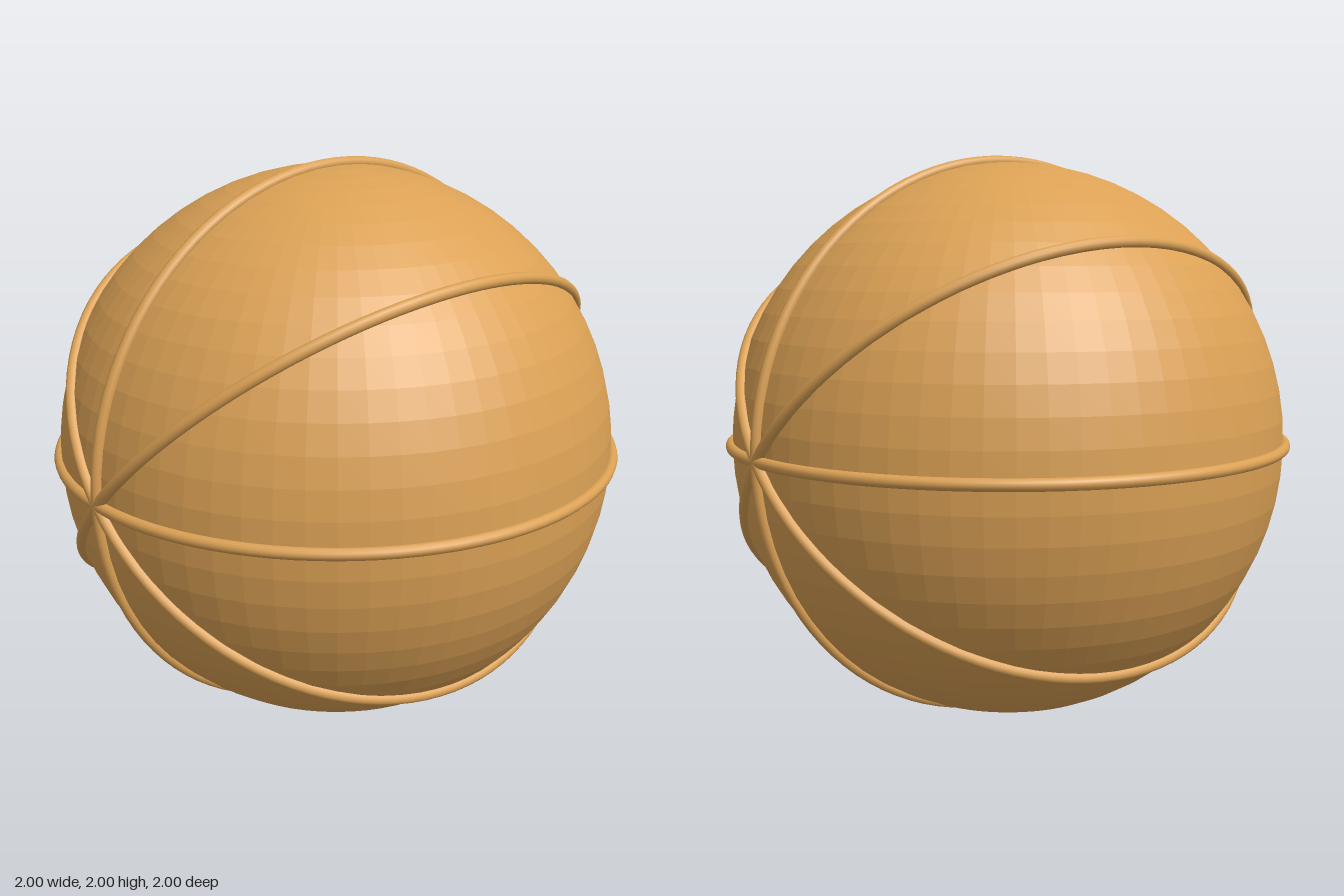
import * as THREE from 'three';

export function createModel() {
  const model = new THREE.Group();
  model.name = 'ribbedBall';

  const orange = new THREE.MeshStandardMaterial({ color: 0xdba155 });
  orange.name = 'warm orange';
  orange.flatShading = true;
  const ribOrange = new THREE.MeshStandardMaterial({ color: 0xdba155 });
  ribOrange.name = 'rib orange';

  // Faceted ball
  const ball = new THREE.Mesh(new THREE.SphereGeometry(0.976, 64, 32), orange);
  ball.name = 'ball';
  ball.position.y = 1;
  model.add(ball);

  // Four rings that cross at the front and back poles
  const ringGeometry = new THREE.TorusGeometry(0.98, 0.02, 12, 100);
  ringGeometry.rotateY(Math.PI / 2);
  for (let i = 0; i < 4; i++) {
    const ring = new THREE.Mesh(ringGeometry, ribOrange);
    ring.name = `rib${i + 1}`;
    ring.rotation.z = (i * Math.PI) / 4;
    ring.position.y = 1;
    model.add(ring);
  }
  return model;
}
